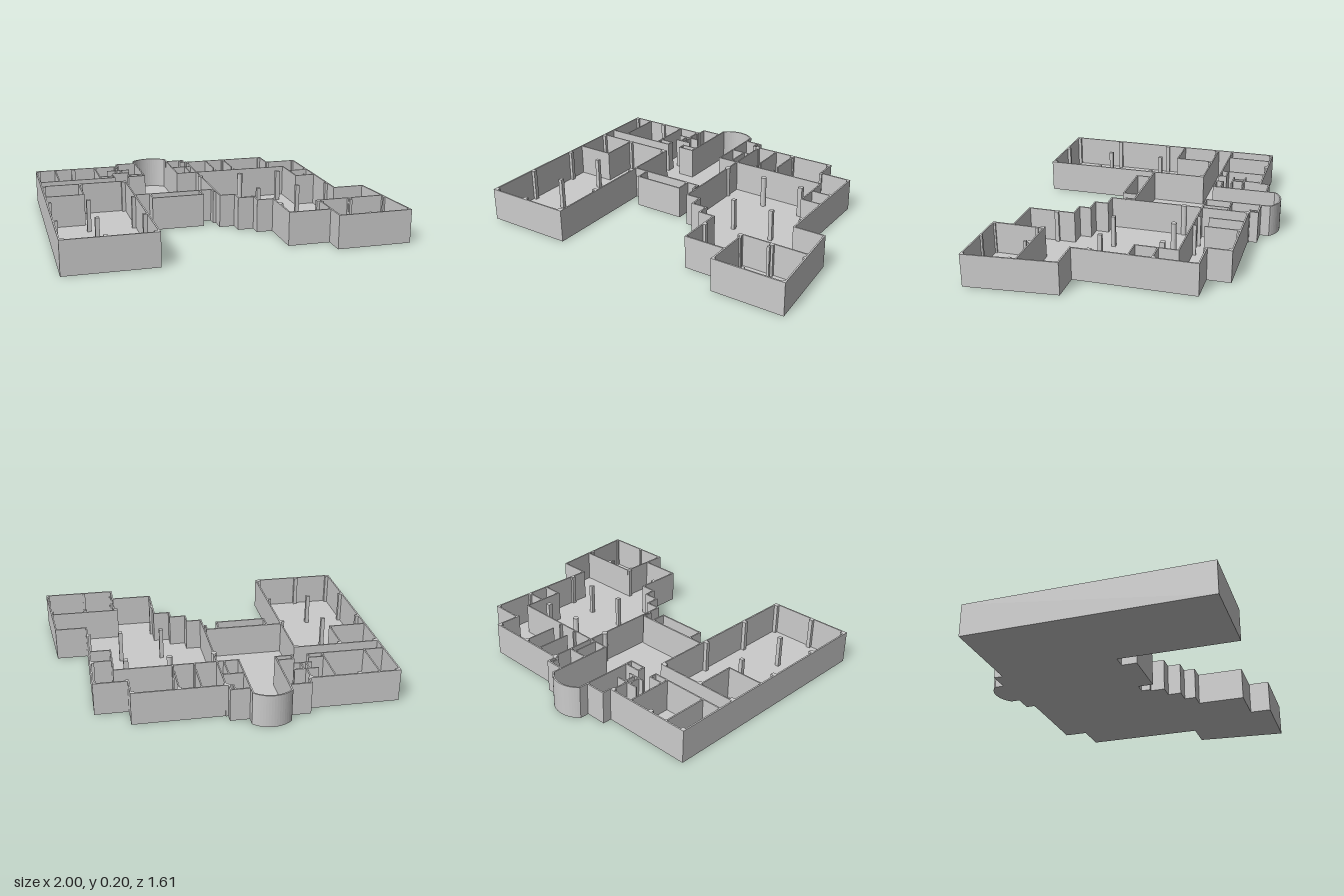
import * as THREE from 'three';

const H = 0.2;        // wall height
const T = 0.009;      // outer wall thickness
const P = 0.008;      // partition thickness
const FLOOR = 0.005;  // slab thickness

const material = new THREE.MeshStandardMaterial({ color: 0xcccccc, flatShading: true });

// Plan points are [x, z].
const toPath = (pts, Kind) => new Kind(pts.map(([x, z]) => new THREE.Vector2(x, -z)));

// Raises a plan; the hole runs opposite to the outline so its faces look inwards.
function extrudePlan(name, outer, height, inner) {
  const shape = toPath(outer, THREE.Shape);
  if (inner) shape.holes.push(toPath([...inner].reverse(), THREE.Path));
  const geo = new THREE.ExtrudeGeometry(shape, { depth: height, bevelEnabled: false });
  geo.rotateX(-Math.PI / 2);
  const mesh = new THREE.Mesh(geo, material);
  mesh.name = name;
  return mesh;
}

// Moves every side of a closed plan inwards by d, with mitred corners.
function inset(pts, d) {
  const n = pts.length;
  const normal = (a, b) => {
    const dx = b[0] - a[0], dz = b[1] - a[1], l = Math.hypot(dx, dz);
    return [-dz / l, dx / l];
  };
  return pts.map((p, i) => {
    const m = normal(pts[(i + n - 1) % n], p), k = normal(p, pts[(i + 1) % n]);
    const s = d / (1 + m[0] * k[0] + m[1] * k[1]);
    return [p[0] + (m[0] + k[0]) * s, p[1] + (m[1] + k[1]) * s];
  });
}

// Curved bay at the back
function bayArc() {
  const half = 0.115, sag = 0.05, r = (half * half + sag * sag) / (2 * sag);
  const a = Math.asin(half / r), pts = [];
  for (let i = 0; i <= 16; i++) {
    const t = -a + (2 * a * i) / 16;
    pts.push([-0.215 + r * Math.sin(t), -0.805 + r - r * Math.cos(t)]);
  }
  return pts;
}

export function createModel() {
  const model = new THREE.Group();
  model.name = 'buildingFloor';

  // Outer shell and floor slab
  const outline = [
    [-1, -0.645], [-0.457, -0.645], [-0.457, -0.7], [-0.33, -0.7],
    ...bayArc(),
    [-0.1, -0.7], [0.014, -0.7], [0.014, -0.645], [0.563, -0.645], [0.563, -0.503],
    [0.761, -0.503], [0.761, 0.227], [0.949, 0.227], [1, 0.783], [0.556, 0.783],
    [0.556, 0.657], [0.306, 0.657], [0.306, 0.373], [0.209, 0.373], [0.209, 0.303],
    [0.113, 0.303], [0.113, 0.223], [0.022, 0.223], [0.022, 0.137], [0.004, 0.137],
    [0.004, 0.082], [-0.464, 0.082], [-0.464, 0.805], [-1, 0.805],
  ];
  model.add(extrudePlan('floor', outline, FLOOR));
  model.add(extrudePlan('outerWall', outline, H, inset(outline, T)));

  // Front porch
  const porch = [[-0.38, 0.074], [-0.063, 0.074], [-0.063, 0.175], [-0.38, 0.175]];
  model.add(extrudePlan('porchFloor', porch, FLOOR));
  model.add(extrudePlan('porchWall', porch, H, inset(porch, T)));

  // Partitions: [x1, z1, x2, z2] on the wall centre line
  const partitions = {
    westRooms: [
      [-0.995, -0.356, -0.52, -0.356], [-0.52, -0.4, -0.52, -0.356], [-0.61, -0.4, -0.52, -0.4],
      [-0.61, -0.64, -0.61, -0.356], [-0.873, -0.64, -0.873, -0.356],
    ],
    serviceCore: [
      [-0.467, -0.64, -0.467, -0.53], [-0.537, -0.53, -0.4, -0.53], [-0.515, -0.456, -0.415, -0.456],
      [-0.485, -0.53, -0.485, -0.456], [-0.453, -0.53, -0.453, -0.456],
      [-0.425, -0.4, -0.425, -0.356], [-0.425, -0.4, -0.325, -0.4], [-0.425, -0.356, -0.325, -0.356],
    ],
    bayHall: [[-0.325, -0.7, -0.325, -0.356], [-0.104, -0.7, -0.104, -0.356]],
    backRooms: [
      [-0.104, -0.356, 0.63, -0.356], [-0.104, -0.516, 0.024, -0.516], [-0.015, -0.516, -0.015, -0.356],
      [-0.015, -0.695, -0.015, -0.645], [-0.015, -0.645, 0.024, -0.645],
      [0.162, -0.64, 0.162, -0.432], [0.288, -0.64, 0.288, -0.432],
      [0.162, -0.376, 0.162, -0.356], [0.288, -0.376, 0.288, -0.356],
    ],
    hallDivider: [[0.026, -0.64, 0.026, 0.137]],
    eastRooms: [[0.63, -0.356, 0.63, -0.103], [0.63, -0.238, 0.755, -0.238], [0.63, -0.103, 0.755, -0.103]],
    cornerRoom: [[0.562, 0.465, 0.965, 0.465], [0.562, 0.465, 0.562, 0.775]],
    westWing: [
      [-0.995, -0.256, -0.469, -0.256], [-0.469, -0.256, -0.469, 0.085],
      [-0.764, -0.256, -0.764, -0.012], [-0.995, -0.012, -0.764, -0.012],
    ],
  };
  for (const [name, walls] of Object.entries(partitions)) {
    const group = new THREE.Group();
    group.name = name;
    for (const [x1, z1, x2, z2] of walls) {
      const geo = new THREE.BoxGeometry(Math.abs(x2 - x1) + P, H, Math.abs(z2 - z1) + P);
      const wall = new THREE.Mesh(geo, material);
      wall.name = 'partition';
      wall.position.set((x1 + x2) / 2, H / 2, (z1 + z2) / 2);
      group.add(wall);
    }
    model.add(group);
  }

  // Columns
  const columns = new THREE.Group();
  columns.name = 'columns';
  const addColumn = (name, geo, x, z) => {
    const column = new THREE.Mesh(geo, material);
    column.name = name;
    column.position.set(x, H / 2, z);
    columns.add(column);
  };
  const square = (s) => new THREE.BoxGeometry(s, H, s);
  const round = new THREE.CylinderGeometry(0.017, 0.017, H, 20);
  for (const x of [0.024, 0.291]) addColumn('roundColumn', round, x, -0.245);
  addColumn('squareColumn', square(0.028), 0.551, -0.245);

  const medium = square(0.024), small = square(0.016);
  for (const x of [-0.983, -0.754, -0.484])
    for (const z of [-0.245, 0.112, 0.469, 0.788]) addColumn('westColumn', medium, x, z);
  for (const x of [-0.985, -0.755, -0.468, 0.024, 0.288, 0.55]) addColumn('backColumn', medium, x, -0.632);
  for (const [x, z] of [[0.297, 0.124], [0.552, 0.124], [0.748, 0.124], [0.319, 0.474],
    [0.552, 0.474], [0.752, 0.474], [0.748, -0.245]]) addColumn('eastColumn', medium, x, z);
  for (const [x, z] of [[0.565, -0.49], [0.75, -0.49], [0.567, 0.502], [0.747, 0.502], [0.963, 0.502],
    [0.567, 0.771], [0.747, 0.771], [0.985, 0.771]]) addColumn('smallColumn', small, x, z);
  model.add(columns);

  return model;
}
